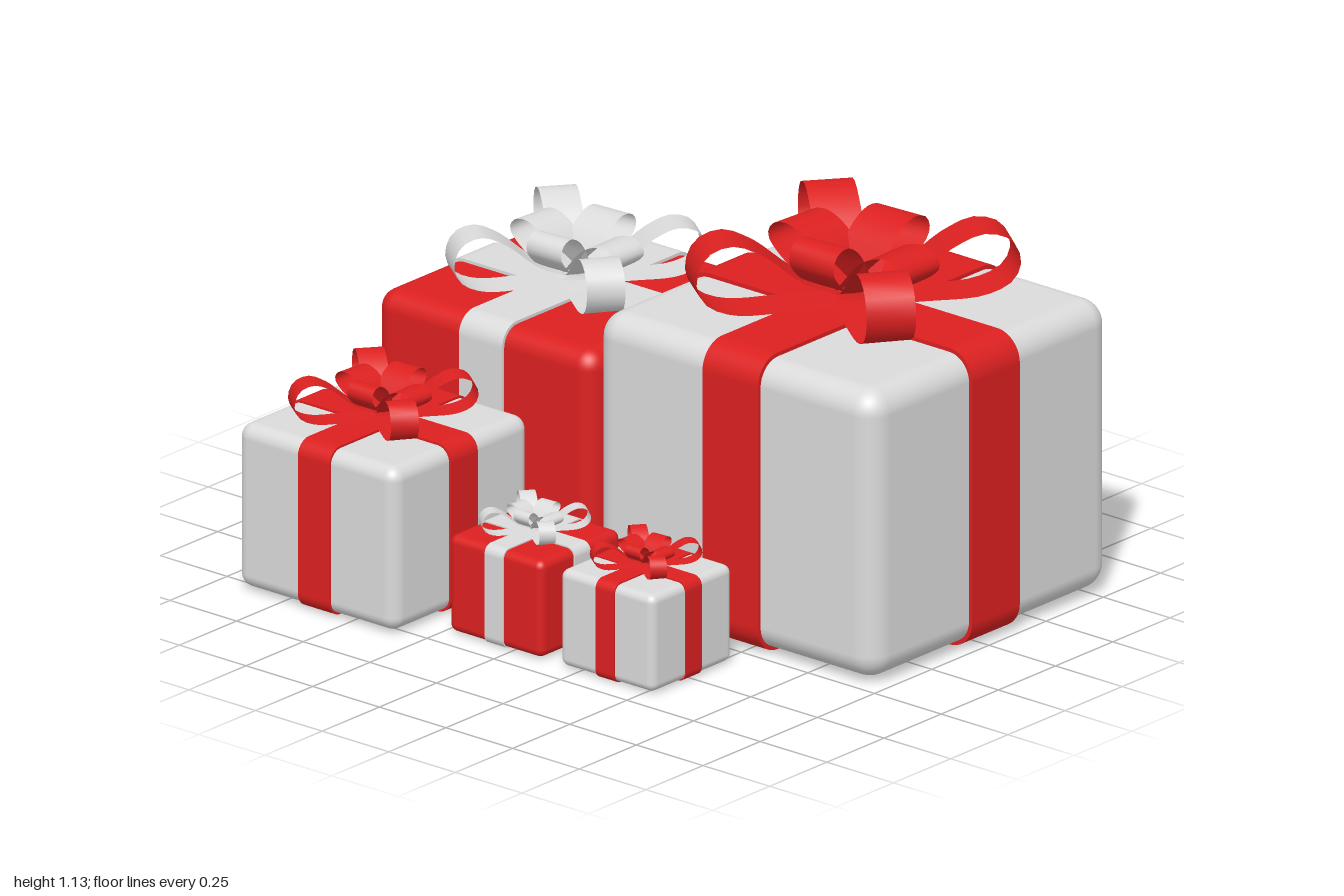
import * as THREE from 'three';
import { RoundedBoxGeometry } from 'three/addons/geometries/RoundedBoxGeometry.js';

const red = new THREE.MeshStandardMaterial({ color: 0xdc2020, side: THREE.DoubleSide });
red.name = 'red';
const white = new THREE.MeshStandardMaterial({ color: 0xdadada, side: THREE.DoubleSide });
white.name = 'white';

// Gift proportions at full scale
const W = 1.05, H = 0.905, LIFT = 0.012, BAND = 0.208;

// Rounded rectangle extruded into a band wrapping the box
function bandGeometry() {
  const a = W / 2 + LIFT, r = 0.085, s = new THREE.Shape();
  s.moveTo(-a + r, 0);
  s.lineTo(a - r, 0);
  s.absarc(a - r, r, r, -Math.PI / 2, 0);
  s.lineTo(a, H - r);
  s.absarc(a - r, H - r, r, 0, Math.PI / 2);
  s.lineTo(-a + r, H);
  s.absarc(-a + r, H - r, r, Math.PI / 2, Math.PI);
  s.lineTo(-a, r);
  s.absarc(-a + r, r, r, Math.PI, Math.PI * 1.5);
  const g = new THREE.ExtrudeGeometry(s, { depth: BAND, bevelEnabled: false, curveSegments: 8 });
  return g.translate(0, 0, -BAND / 2);
}

// Strip of ribbon swept along a looping profile of [outward, up] points
function loopGeometry(points, width) {
  const curve = new THREE.CatmullRomCurve3(points.map(([r, y]) => new THREE.Vector3(r, y, 0)));
  const g = new THREE.PlaneGeometry(1, 1, 32, 1);
  const p = g.attributes.position;
  for (let i = 0; i < p.count; i++) {
    const c = curve.getPointAt(THREE.MathUtils.clamp(p.getX(i) + 0.5, 0, 1));
    p.setXYZ(i, c.x, c.y, p.getY(i) * width);
  }
  g.computeVertexNormals();
  return g;
}

const boxGeo = new RoundedBoxGeometry(W, H - 2 * LIFT, W, 5, 0.075);
const bandGeo = bandGeometry();
const outerGeo = loopGeometry([[0, 0.015], [0.2, 0.01], [0.37, 0.015], [0.45, 0.055], [0.475, 0.12],
  [0.445, 0.195], [0.37, 0.222], [0.28, 0.185], [0.15, 0.085], [0, 0.03]], 0.145);
const innerGeo = loopGeometry([[0, 0.03], [0.12, 0.065], [0.21, 0.11], [0.255, 0.16], [0.24, 0.2],
  [0.18, 0.218], [0.1, 0.185], [0, 0.06]], 0.16);

// Bow loops: angle in degrees, length scale, height scale
const outerLoops = [[141, 1, 1], [53, 1, 0.9], [-36, 1, 1], [-126, 1, 1.01]];
const innerLoops = [[93, 1, 1], [1, 1, 0.88], [-87, 0.76, 1], [176, 1.02, 0.95]];

function makeGift(name, x, z, scale, paper, ribbon) {
  const gift = new THREE.Group();
  gift.name = name;
  const add = (parent, geo, mat, part) => {
    const m = new THREE.Mesh(geo, mat);
    m.name = part;
    parent.add(m);
    return m;
  };
  add(gift, boxGeo, paper, 'box').position.y = H / 2;
  add(gift, bandGeo, ribbon, 'ribbonAcross');
  add(gift, bandGeo, ribbon, 'ribbonFrontToBack').rotation.y = Math.PI / 2;

  const bow = new THREE.Group();
  bow.name = 'bow';
  bow.position.y = H;
  for (const [loops, geo, part] of [[outerLoops, outerGeo, 'outerLoop'], [innerLoops, innerGeo, 'innerLoop']]) {
    for (const [angle, length, height] of loops) {
      const m = add(bow, geo, ribbon, part);
      m.rotation.y = THREE.MathUtils.degToRad(angle);
      m.scale.set(length, height, 1);
    }
  }
  gift.add(bow);
  gift.position.set(x, 0, z);
  gift.scale.setScalar(scale);
  return gift;
}

export function createModel() {
  const model = new THREE.Group();
  model.name = 'giftPile';
  model.add(
    makeGift('largestGift', 0.458, -0.287, 1, white, red),
    makeGift('largeGift', -0.58, -0.287, 0.78, red, white),
    makeGift('mediumGift', -0.622, 0.508, 0.567, white, red),
    makeGift('smallRedGift', -0.06, 0.5, 0.335, red, white),
    makeGift('smallWhiteGift', 0.357, 0.5, 0.335, white, red),
  );
  return model;
}
